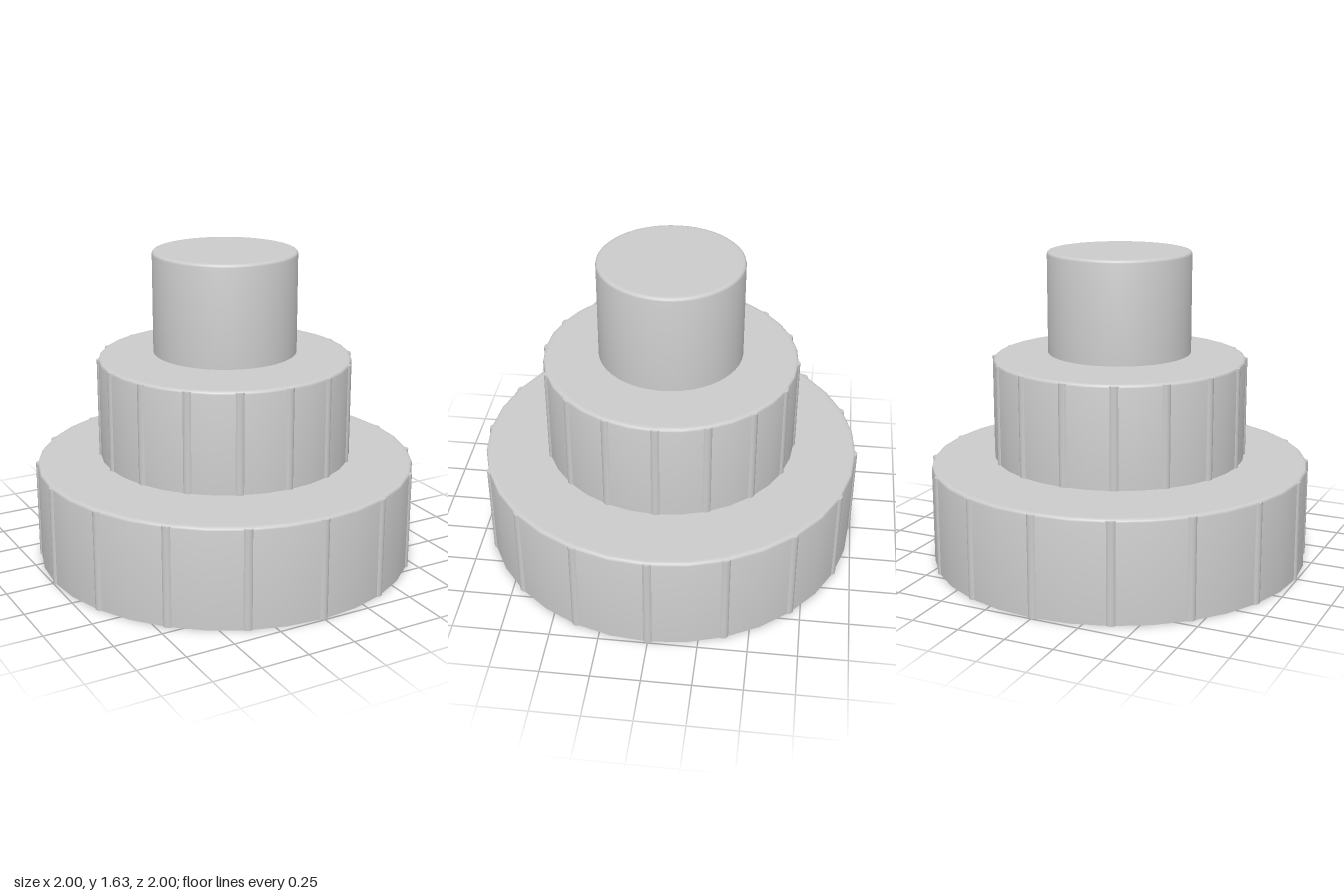
import * as THREE from 'three';
import { toCreasedNormals } from 'three/addons/utils/BufferGeometryUtils.js';

const material = new THREE.MeshStandardMaterial({ color: 0xcccccc });
const HEIGHT = 0.525;
const BEVEL = 0.015;

// Solid drum with a flat base and a softly rounded top edge
function makeDrum(radius, segments) {
  const profile = [new THREE.Vector2(0, 0), new THREE.Vector2(radius, 0)];
  for (let i = 0; i <= 3; i++) {
    const a = (i / 3) * Math.PI / 2;
    profile.push(new THREE.Vector2(
      radius - BEVEL + BEVEL * Math.cos(a),
      HEIGHT - BEVEL + BEVEL * Math.sin(a)));
  }
  profile.push(new THREE.Vector2(radius - 2 * BEVEL, HEIGHT), new THREE.Vector2(0, HEIGHT));
  const geometry = toCreasedNormals(new THREE.LatheGeometry(profile, segments), 0.7);
  const drum = new THREE.Mesh(geometry, material);
  drum.name = 'drum';
  return drum;
}

// Ring of upright half-sunk rods around a drum
function makeRibs(ringRadius, ribRadius, count) {
  const ribs = new THREE.Group();
  ribs.name = 'gripRibs';
  const height = HEIGHT - 0.006;
  const geometry = new THREE.CylinderGeometry(ribRadius, ribRadius, height, 16);
  for (let i = 0; i < count; i++) {
    const a = (i / count) * Math.PI * 2;
    const rib = new THREE.Mesh(geometry, material);
    rib.name = 'rib';
    rib.position.set(ringRadius * Math.sin(a), height / 2, ringRadius * Math.cos(a));
    ribs.add(rib);
  }
  return ribs;
}

export function createModel() {
  const model = new THREE.Group();
  model.name = 'steppedKnob';

  // Three separate tiers with a narrow gap between them
  const tiers = [
    { name: 'lowerTier', radius: 0.99, y: 0.005, segments: 32, ribRing: 0.971 },
    { name: 'middleTier', radius: 0.657, y: 0.558, segments: 32, ribRing: 0.637 },
    { name: 'upperTier', radius: 0.372, y: 1.108, segments: 48 },
  ];
  for (const t of tiers) {
    const tier = new THREE.Group();
    tier.name = t.name;
    tier.position.y = t.y;
    tier.add(makeDrum(t.radius, t.segments));
    if (t.ribRing) tier.add(makeRibs(t.ribRing, 0.028, 16));
    model.add(tier);
  }
  return model;
}
